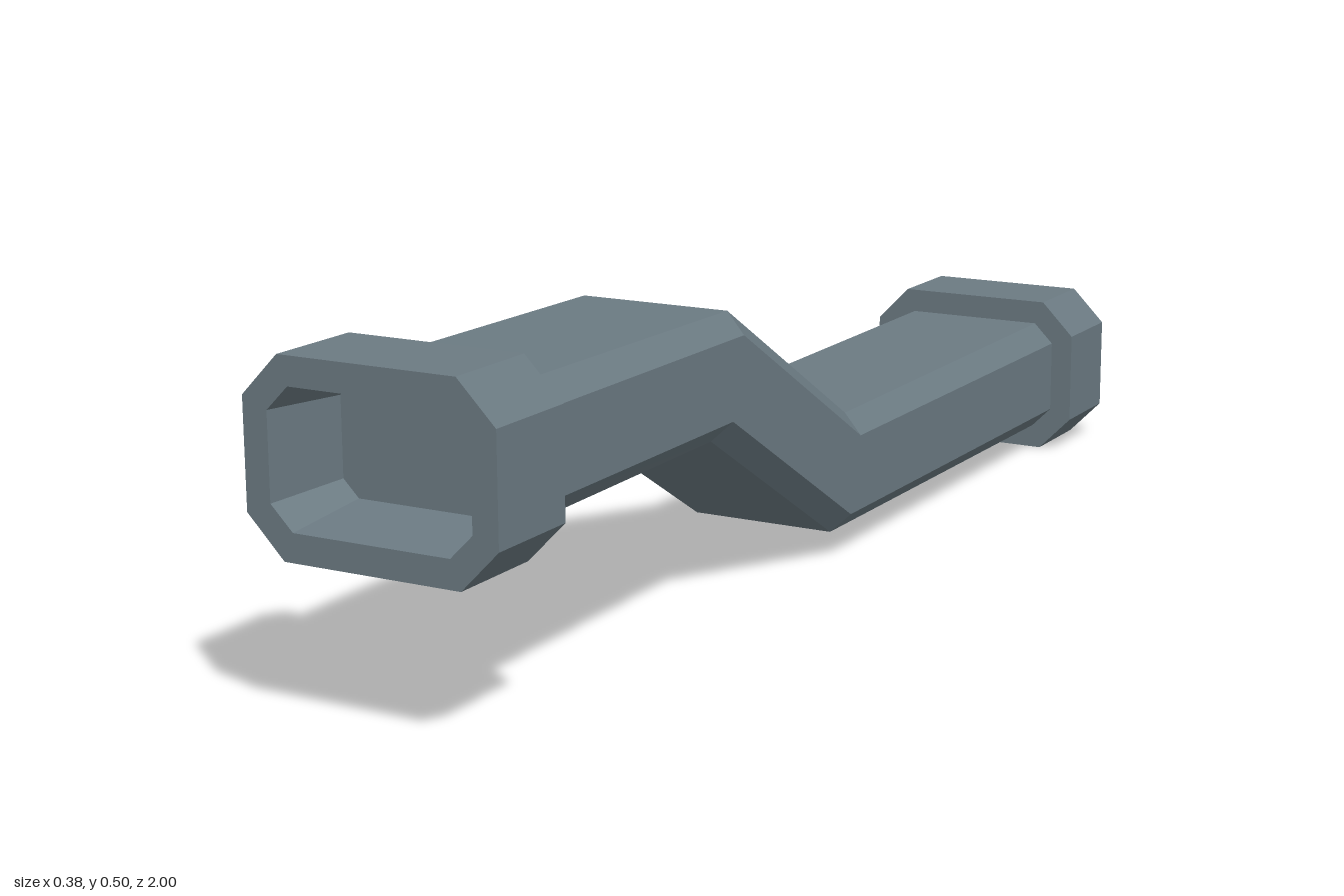
import * as THREE from 'three';

// Chamfered rectangle ring: w, h half sizes; cw, ch flat-edge half lengths; lean tilts the ring in z
function ring({ z, y = 0, w, h, cw, ch, lean = 0 }) {
  return [[w, -ch], [w, ch], [cw, h], [-cw, h], [-w, ch], [-w, -ch], [-cw, -h], [cw, -h]]
    .map(([px, py]) => new THREE.Vector3(px, y + py, z + lean * py));
}

// Faceted skin over a list of sections, closed at both ends
function loft(sections) {
  const rings = sections.map(ring);
  const pts = [];
  const tri = (a, b, c) => pts.push(a, b, c);
  for (let r = 0; r < rings.length - 1; r++) {
    const a = rings[r], b = rings[r + 1];
    for (let i = 0; i < 8; i++) {
      const j = (i + 1) % 8;
      tri(a[i], a[j], b[j]);
      tri(a[i], b[j], b[i]);
    }
  }
  const first = rings[0], last = rings[rings.length - 1];
  for (let i = 1; i < 7; i++) {
    tri(first[0], first[i + 1], first[i]);
    tri(last[0], last[i], last[i + 1]);
  }
  const geometry = new THREE.BufferGeometry().setFromPoints(pts);
  geometry.computeVertexNormals();
  return geometry;
}

export function createModel() {
  const model = new THREE.Group();
  model.name = 'ductPipe';
  const metal = new THREE.MeshStandardMaterial({ color: 0x6b7a82 });
  metal.name = 'blueGreyMetal';

  const add = (name, geometry) => {
    const mesh = new THREE.Mesh(geometry, metal);
    mesh.name = name;
    model.add(mesh);
    return mesh;
  };

  const highY = 0.365, lowY = 0.135;

  // Pipe body with two mitred bends stepping from the high end to the low end
  const end = { w: 0.154, h: 0.095, cw: 0.12, ch: 0.061 };
  const bend = { w: 0.152, h: 0.091, cw: 0.12, ch: 0.06, lean: -0.27 };
  add('pipeBody', loft([
    { z: -0.855, y: lowY, ...end },
    { z: -0.055, y: lowY, ...bend },
    { z: 0.325, y: highY, ...bend },
    { z: 0.855, y: highY, ...end },
  ]));

  // End collar: outer band, front rim, tapering recess and its floor
  const outer = { w: 0.192, h: 0.135, cw: 0.135, ch: 0.077 };
  const floor = { w: 0.137, h: 0.08, cw: 0.113, ch: 0.056 };
  const collar = loft([
    { z: 0.85, ...outer },
    { z: 1, ...outer },
    { z: 1, ...end },
    { z: 0.87, ...floor },
  ]);
  add('frontCollar', collar).position.y = highY;
  const rear = add('rearCollar', collar);
  rear.position.y = lowY;
  rear.rotation.y = Math.PI;

  return model;
}
